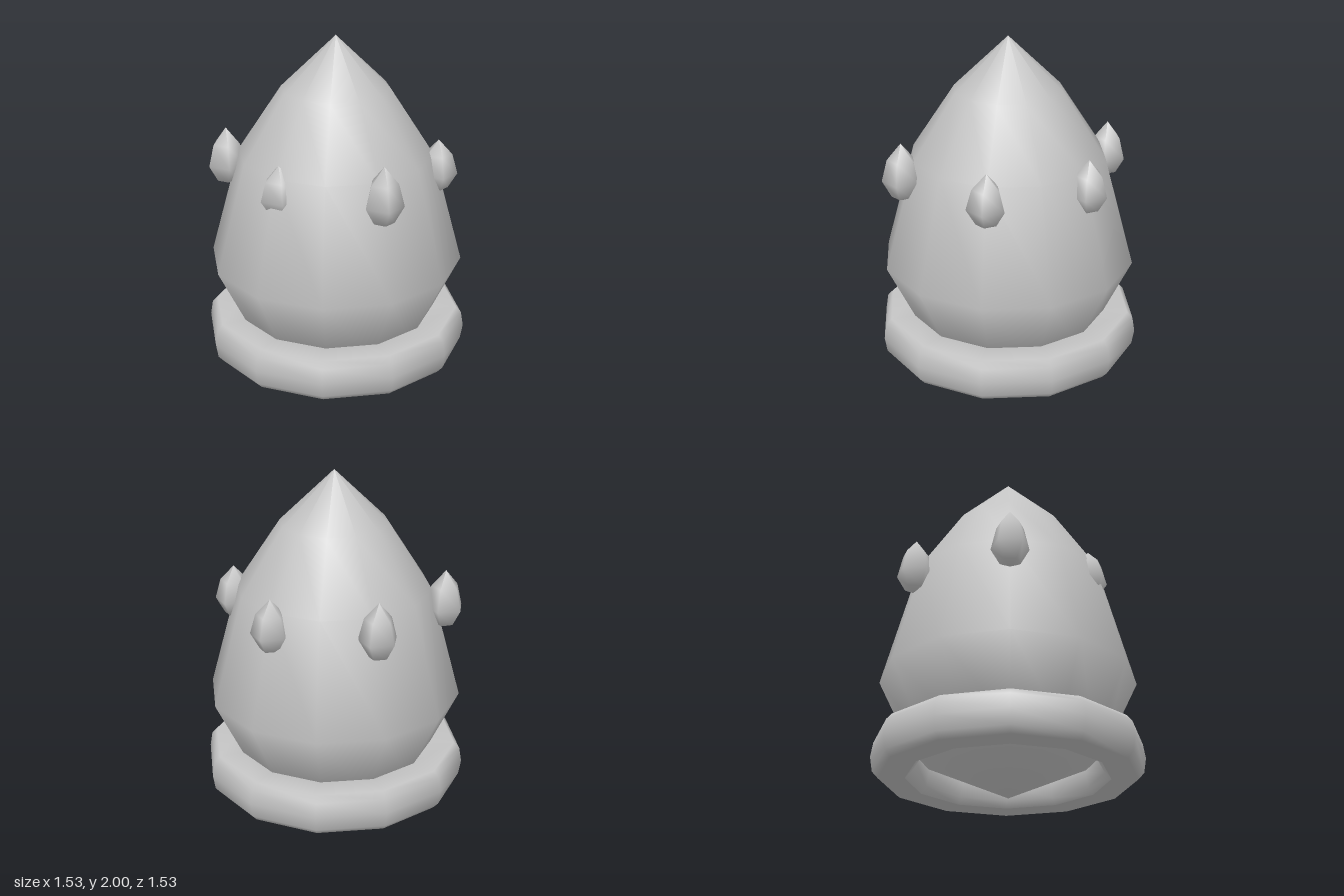
import * as THREE from 'three';

const points = (list) => list.map(([r, y]) => new THREE.Vector2(r, y));

export function createModel() {
  const group = new THREE.Group();
  const stone = new THREE.MeshStandardMaterial({ color: 0xc4c4c4 });
  stone.name = 'pale grey';

  // Turned part with its first corner on +x
  const turned = (name, profile, sides) => {
    const geometry = new THREE.LatheGeometry(points(profile), sides, Math.PI / 2);
    const mesh = new THREE.Mesh(geometry, stone);
    mesh.name = name;
    group.add(mesh);
    return mesh;
  };

  // Egg-shaped body, pointed at both ends
  turned('body', [
    [0, 0], [0.53, 0.255], [0.735, 0.68], [0.56, 1.32], [0.31, 1.7], [0, 2],
  ], 12);

  // Thick rounded ring around the base
  turned('baseRing', [
    [0.57, 0.113], [0.72, 0.113], [0.753, 0.15], [0.767, 0.235], [0.753, 0.318],
    [0.72, 0.355], [0.57, 0.355], [0.535, 0.318], [0.52, 0.235], [0.535, 0.15], [0.57, 0.113],
  ], 12);

  // Small teardrop buds around the body: x, z, height
  const buds = [
    [0.585, 0, 0.31], [0.31, 0.545, 0.34], [-0.265, 0.455, 0.29],
    [-0.635, 0, 0.34], [-0.31, -0.53, 0.33], [0.28, -0.505, 0.31],
  ];
  for (const [x, z, height] of buds) {
    const bud = turned('bud', [
      [0, 0], [0.06, 0.07], [0.112, 0.35], [0.08, 0.72], [0, 1],
    ], 5);
    bud.scale.y = height;
    bud.position.set(x, 1.1, z);
  }

  return group;
}
